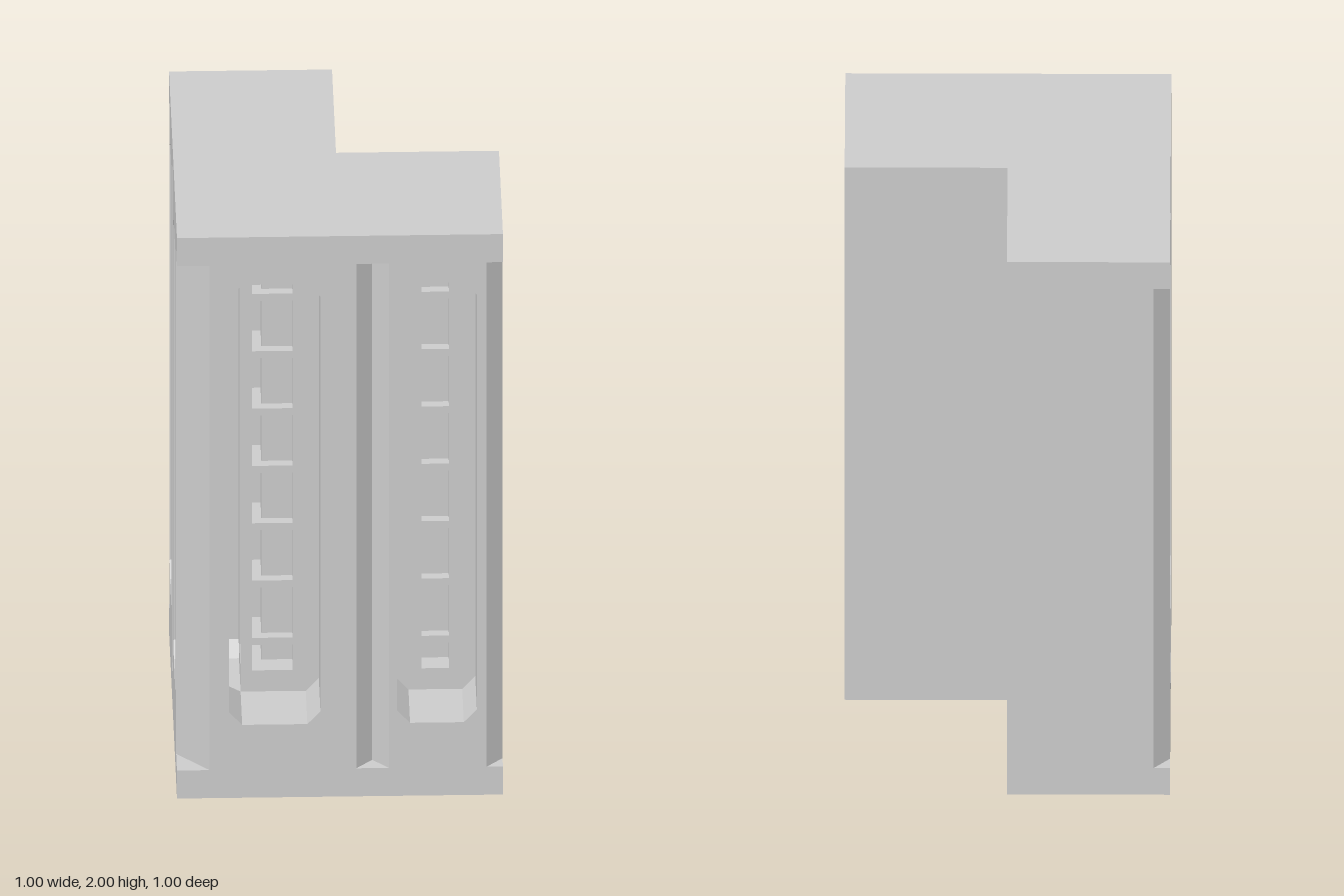
import * as THREE from 'three';

// Plans are drawn as [x, s] with s = -z, so swapping the two mirrors a part
// from the front facade to the side facade across the outer corner.
const swap = (pts) => pts.map(([x, s]) => [s, x]).reverse();

export function createModel() {
  const model = new THREE.Group();
  const material = new THREE.MeshStandardMaterial({ color: 0xcccccc, flatShading: true });

  const add = (name, geometry) => {
    const mesh = new THREE.Mesh(geometry, material);
    mesh.name = name;
    model.add(mesh);
  };

  // Vertical prism over a plan
  const prism = (name, plan, y0, y1) => {
    const shape = new THREE.Shape(plan.map(([x, s]) => new THREE.Vector2(x, s)));
    const geometry = new THREE.ExtrudeGeometry(shape, { depth: y1 - y0, bevelEnabled: false });
    add(name, geometry.rotateX(-Math.PI / 2).translate(0, y0, 0));
  };

  // Pier whose sides flare at both ends, forming the clipped window corners
  const levels = [[0.26, 0.04], [0.305, 0], [1.785, 0], [1.83, 0.04]];
  const pier = (name, ringAt) => {
    const rings = levels.map(([y, c]) => ringAt(c).map(([x, s]) => [x, y, -s]));
    const pos = [];
    for (let k = 0; k < rings.length - 1; k++) {
      const lo = rings[k], hi = rings[k + 1];
      for (let i = 0; i < lo.length; i++) {
        const j = (i + 1) % lo.length;
        pos.push(...lo[i], ...lo[j], ...hi[j], ...lo[i], ...hi[j], ...hi[i]);
      }
    }
    const geometry = new THREE.BufferGeometry();
    geometry.setAttribute('position', new THREE.Float32BufferAttribute(pos, 3));
    geometry.computeVertexNormals();
    add(name, geometry);
  };

  // Complete an L plan from its front half
  const ell = (front) => [...front, [0, 0], ...swap(front)];

  // Plain base and top slabs
  const slab = ell([[-0.5, -0.5], [0.5, -0.5], [0.5, 0]]).slice(0, -1);
  prism('baseSlab', slab, 0, 0.1);
  prism('topSlab', slab, 1.9, 2);

  // Bands below and above the windows, with chamfered corners and V grooves
  const grooved = ell([[-0.4, -0.5], [0.05, -0.5], [0.1, -0.45], [0.15, -0.5],
    [0.45, -0.5], [0.5, -0.45], [0.5, 0]]);
  prism('lowerBand', grooved, 0.1, 0.26);
  prism('upperBand', grooved, 1.83, 1.9);

  // Core behind the windows, with narrow slots sunk into it
  const core = ell([[-0.3, -0.3], [0.5, -0.3], [0.5, 0]]).slice(0, -1);
  const slotted = ell([[-0.235, -0.235], [-0.14, -0.235], [-0.14, -0.3], [0.255, -0.3],
    [0.255, -0.235], [0.34, -0.235], [0.34, -0.3], [0.5, -0.3], [0.5, 0]]).slice(0, -1);
  prism('coreBottom', core, 0.26, 0.335);
  prism('coreSlotted', slotted, 0.335, 1.745);
  prism('coreTop', core, 1.745, 1.83);
  prism('coreCornerPost', [[-0.3, -0.3], [-0.265, -0.3], [-0.265, -0.265], [-0.3, -0.265]], 0.335, 1.745);

  // Piers between the windows
  const cornerPier = (c) => {
    const a = -0.34 + c;
    return [[-0.4, -0.5], [a, -0.5], [a, a], [-0.5, a], [-0.5, -0.4]];
  };
  const middlePier = (c) => [[-0.06 - c, -0.3], [-0.06 - c, -0.5], [0.05, -0.5], [0.1, -0.45],
    [0.15, -0.5], [0.175 + c, -0.5], [0.175 + c, -0.3]];
  const endPier = (c) => [[0.42 - c, -0.3], [0.42 - c, -0.5], [0.45, -0.5], [0.5, -0.45], [0.5, -0.3]];
  pier('cornerPier', cornerPier);
  pier('frontMiddlePier', middlePier);
  pier('frontEndPier', endPier);
  pier('sideMiddlePier', (c) => swap(middlePier(c)));
  pier('sideEndPier', (c) => swap(endPier(c)));

  // Rungs across the slots
  for (const [x0, x1] of [[-0.265, -0.14], [0.255, 0.34]]) {
    const bar = [[x0, -0.265], [x1, -0.265], [x1, -0.235], [x0, -0.235]];
    for (let i = 0; i < 7; i++) {
      const y = 0.405 + i * 0.2046;
      prism('frontRung', bar, y, y + 0.025);
      prism('sideRung', swap(bar), y, y + 0.025);
    }
  }
  return model;
}
